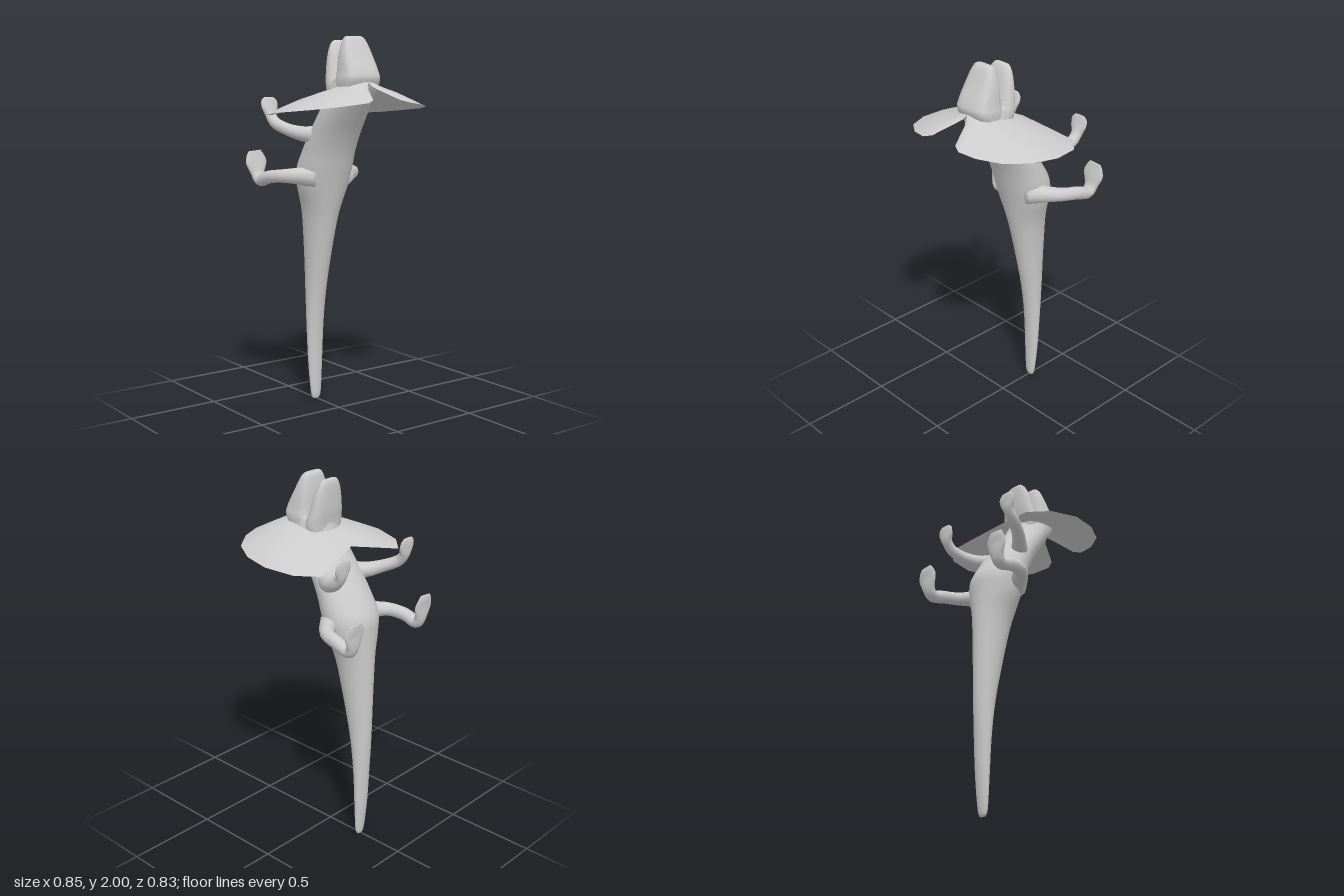
import * as THREE from 'three';

const material = new THREE.MeshStandardMaterial({ color: 0xcccccc });
const thinMaterial = new THREE.MeshStandardMaterial({ color: 0xcccccc, side: THREE.DoubleSide });

function buildMesh(name, positions, index, mat) {
  const geometry = new THREE.BufferGeometry();
  geometry.setAttribute('position', new THREE.Float32BufferAttribute(positions, 3));
  geometry.setIndex(index);
  geometry.computeVertexNormals();
  const mesh = new THREE.Mesh(geometry, mat);
  mesh.name = name;
  return mesh;
}

// Smooth closed skin through rows of [x, y, z, sideRadius, depthRadius].
// Level skins keep every ring horizontal; a power below 1 squares the rings off.
function loft(name, rows, { level = false, power = 1, sides = 24, steps = 6 } = {}) {
  const spline = (pts) => new THREE.CatmullRomCurve3(pts, false, 'catmullrom', 0.5);
  const path = spline(rows.map((r) => new THREE.Vector3(r[0], r[1], r[2])));
  const radii = spline(rows.map((r) => new THREE.Vector3(r[3], r[4], 0)));
  const count = (rows.length - 1) * steps;
  const positions = [], index = [];
  const round = (v) => Math.sign(v) * Math.abs(v) ** power;
  for (let i = 0; i <= count; i++) {
    const u = i / count;
    const c = path.getPoint(u), r = radii.getPoint(u);
    const t = level ? new THREE.Vector3(0, 1, 0) : path.getTangent(u);
    const side = new THREE.Vector3(1, 0, 0).addScaledVector(t, -t.x).normalize();
    const depth = new THREE.Vector3().crossVectors(t, side);
    for (let j = 0; j < sides; j++) {
      const a = (j / sides) * Math.PI * 2;
      const p = c.clone()
        .addScaledVector(side, r.x * round(Math.cos(a)))
        .addScaledVector(depth, r.y * round(Math.sin(a)));
      positions.push(p.x, p.y, p.z);
      if (i < count) {
        const k = (j + 1) % sides, b = i * sides, n = b + sides;
        index.push(b + j, b + k, n + k, b + j, n + k, n + j);
      }
    }
  }
  // End caps
  const first = path.getPoint(0), last = path.getPoint(1);
  const base = positions.length / 3, top = count * sides;
  positions.push(first.x, first.y, first.z, last.x, last.y, last.z);
  for (let j = 0; j < sides; j++) {
    const k = (j + 1) % sides;
    index.push(base, k, j, base + 1, top + j, top + k);
  }
  return buildMesh(name, positions, index, material);
}

// Upright section given as [y, front z, back z, half width]
const upright = (rows) => rows.map(([y, f, b, w]) => [0, y, (f + b) / 2, w, (f - b) / 2]);

// Wide frill: a strip from the neck ring out to an angular rim
function makeFrill() {
  const half = [ // x, y, z of the rim, from front notch to back notch
    [0.012, 1.745, 0.262], [0.03, 1.73, 0.285], [0.085, 1.68, 0.395], [0.13, 1.667, 0.415],
    [0.225, 1.655, 0.39], [0.33, 1.64, 0.315], [0.4, 1.627, 0.19], [0.425, 1.615, 0.04],
    [0.385, 1.6, -0.115], [0.29, 1.593, -0.21], [0.14, 1.628, -0.175],
  ];
  const mirrored = half.slice().reverse().map(([x, y, z]) => [-x, y, z]);
  const rim = [...half, [0, 1.66, -0.14], ...mirrored];
  const bands = 4, n = rim.length, positions = [], index = [];
  rim.forEach(([x, y, z], i) => {
    const a = Math.PI * 2 * i / (n - 1);
    const nx = 0.1 * Math.sin(a), nz = 0.115 + 0.125 * Math.cos(a);
    const ny = 1.722 + 0.19 * nz;
    for (let b = 0; b <= bands; b++) {
      const t = b / bands;
      const bulge = 0.012 * Math.sin(Math.PI * t) * Math.min(1, Math.abs(x) * 4);
      positions.push(nx + (x - nx) * t, ny + (y - ny) * t + bulge, nz + (z - nz) * t);
      if (i < n - 1 && b < bands) {
        const p = i * (bands + 1) + b, q = p + bands + 1;
        index.push(p, p + 1, q + 1, p, q + 1, q);
      }
    }
  });
  return buildMesh('neckFrill', positions, index, thinMaterial);
}

export function createModel() {
  const model = new THREE.Group();

  // Tail, belly and neck in one tapering skin
  model.add(loft('bodyAndTail', upright([
    [0, -0.212, -0.232, 0.02], [0.04, -0.205, -0.24, 0.032], [0.2, -0.2, -0.256, 0.043],
    [0.4, -0.19, -0.268, 0.05], [0.6, -0.163, -0.28, 0.056], [0.8, -0.122, -0.284, 0.068],
    [1.0, -0.078, -0.285, 0.088], [1.1, -0.053, -0.283, 0.108], [1.2, -0.028, -0.281, 0.141],
    [1.3, 0, -0.275, 0.158], [1.4, 0.032, -0.222, 0.152], [1.5, 0.08, -0.155, 0.146],
    [1.6, 0.145, -0.085, 0.138], [1.7, 0.208, -0.02, 0.122], [1.79, 0.22, 0.005, 0.1],
  ]), { level: true, sides: 28, steps: 4 }));

  // Open jaws pointing upward
  model.add(loft('frontJaw', upright([
    [1.68, 0.19, 0.06, 0.1], [1.77, 0.24, 0.075, 0.112], [1.82, 0.236, 0.082, 0.105],
    [1.9, 0.194, 0.086, 0.092], [1.96, 0.165, 0.094, 0.075], [1.99, 0.148, 0.102, 0.06],
    [2.0, 0.134, 0.112, 0.046],
  ]), { level: true, power: 0.62 }));
  model.add(loft('backJaw', upright([
    [1.68, 0.11, 0.0, 0.1], [1.75, 0.1, -0.002, 0.112], [1.82, 0.078, -0.011, 0.102],
    [1.9, 0.056, -0.014, 0.086], [1.95, 0.038, -0.013, 0.068], [1.975, 0.024, -0.008, 0.05],
    [1.982, 0.014, 0.0, 0.035],
  ]), { level: true, power: 0.75 }));

  model.add(makeFrill());

  // Limbs end in flat, upturned feet
  const arm = [
    [0.09, 1.49, -0.06, 0.05, 0.05], [0.15, 1.495, -0.12, 0.04, 0.04],
    [0.2, 1.515, -0.18, 0.034, 0.033], [0.235, 1.548, -0.25, 0.032, 0.03],
    [0.24, 1.59, -0.29, 0.032, 0.024], [0.24, 1.63, -0.302, 0.05, 0.016],
    [0.24, 1.665, -0.308, 0.05, 0.01], [0.24, 1.685, -0.31, 0.03, 0.005],
  ];
  const leg = [
    [0.09, 1.265, -0.09, 0.06, 0.06], [0.17, 1.27, -0.14, 0.045, 0.045],
    [0.235, 1.27, -0.2, 0.036, 0.036], [0.26, 1.258, -0.29, 0.033, 0.035],
    [0.26, 1.236, -0.365, 0.035, 0.032], [0.262, 1.27, -0.394, 0.042, 0.022],
    [0.265, 1.33, -0.403, 0.066, 0.013], [0.268, 1.37, -0.41, 0.055, 0.009],
    [0.27, 1.395, -0.412, 0.038, 0.005],
  ];
  for (const [label, s] of [['left', 1], ['right', -1]]) {
    const mirror = (rows) => rows.map(([x, ...rest]) => [x * s, ...rest]);
    model.add(loft(label + 'Arm', mirror(arm), { sides: 14, steps: 4 }));
    model.add(loft(label + 'Leg', mirror(leg), { sides: 14, steps: 4 }));
  }
  return model;
}
